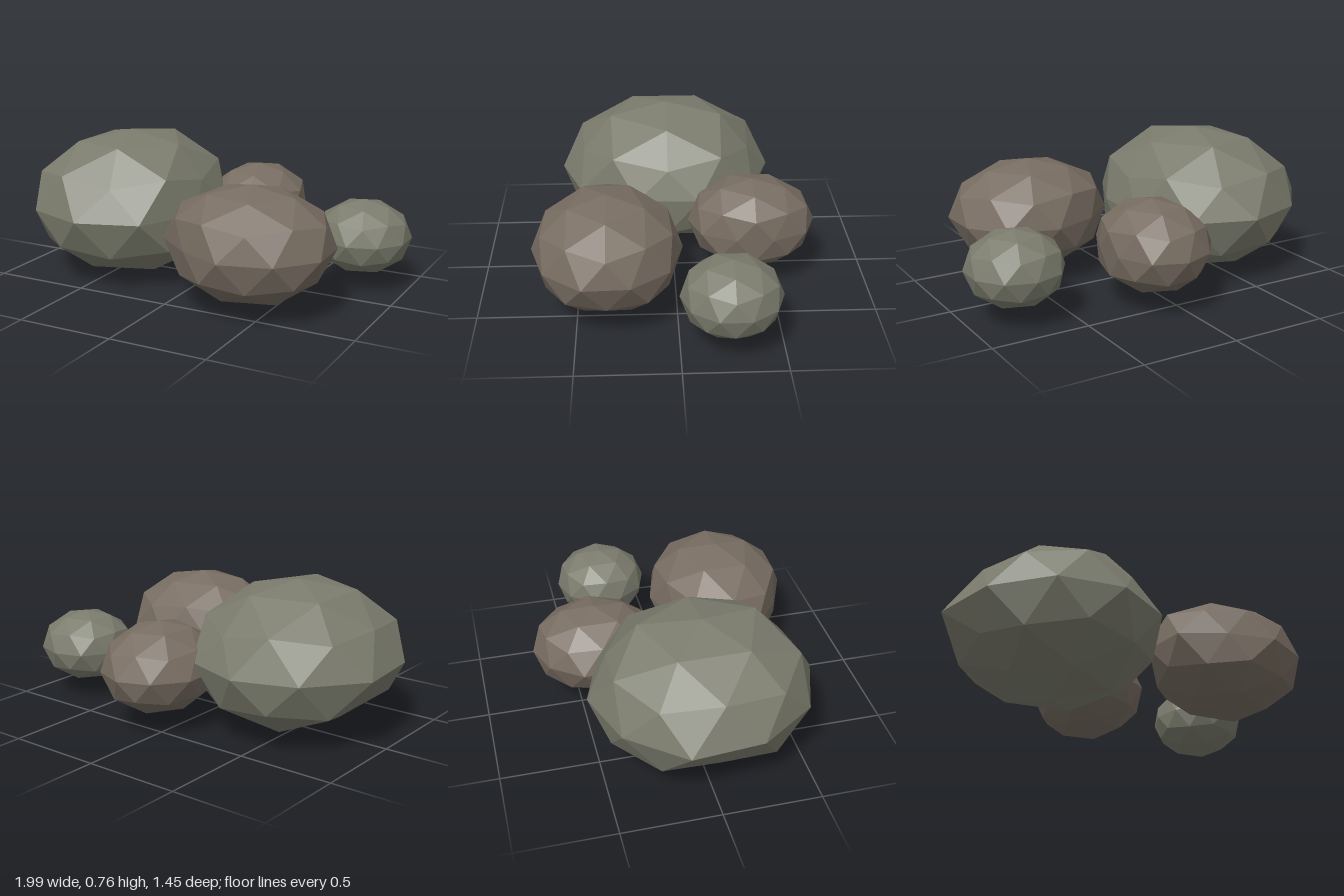
import * as THREE from 'three';

const TILT = Math.atan(2 / (1 + Math.sqrt(5)));

// Faceted boulder: a squashed 80-sided sphere with a corner at its top.
// Each dent [x, y, z, factor] pushes the corner in that direction in or out.
function makeRock({ name, color, centre, radii, dents }) {
  const geometry = new THREE.IcosahedronGeometry(1, 1);
  geometry.rotateZ(-TILT);
  const position = geometry.attributes.position;
  const corner = new THREE.Vector3();
  const directions = dents.map(([x, y, z]) => new THREE.Vector3(x, y, z).normalize());
  for (let i = 0; i < position.count; i++) {
    corner.fromBufferAttribute(position, i);
    const hit = directions.findIndex((d) => d.dot(corner) > 0.96);
    if (hit >= 0) corner.multiplyScalar(dents[hit][3]);
    position.setXYZ(i, corner.x, corner.y, corner.z);
  }
  geometry.scale(...radii);
  geometry.computeVertexNormals();
  const material = new THREE.MeshStandardMaterial({ color, flatShading: true });
  const rock = new THREE.Mesh(geometry, material);
  rock.name = name;
  rock.position.set(...centre);
  return rock;
}

const GREY = 0x7b7c6d;
const BROWN = 0x786d62;

const ROCKS = [
  {
    name: 'largeRock', color: GREY,
    centre: [-0.46, 0.38, 0.03], radii: [0.535, 0.38, 0.57],
    dents: [
      [-0.95, 0, -0.31, 1.06], [0.95, 0, -0.31, 0.93], [0.95, 0, 0.31, 0.91],
      [-0.85, 0.53, 0, 0.95], [-0.89, -0.45, 0, 0.89], [-0.53, -0.85, 0, 0.9],
      [0.89, 0.45, 0, 0.88], [0.16, 0.85, 0.5, 1.04], [0.16, 0.85, -0.5, 1.04],
      [0.28, 0.45, 0.85, 0.92], [0.28, 0.45, -0.85, 0.92],
    ],
  },
  {
    name: 'frontRock', color: BROWN,
    centre: [0.4, 0.333, 0.345], radii: [0.43, 0.292, 0.375],
    dents: [
      [-0.59, 0, -0.81, 0.93], [-0.59, 0, 0.81, 0.9], [-0.85, 0.53, 0, 1.05],
      [0.95, 0, -0.31, 0.98], [0.85, -0.53, 0, 0.95], [-0.95, 0, 0.31, 1.03],
    ],
  },
  {
    name: 'backRock', color: BROWN,
    centre: [0.085, 0.31, -0.4], radii: [0.28, 0.235, 0.33],
    dents: [
      [-0.95, 0, -0.31, 1.06], [-0.95, 0, 0.31, 1.03],
      [0.95, 0, -0.31, 0.93], [0.95, 0, 0.31, 0.91],
    ],
  },
  {
    name: 'smallRock', color: GREY,
    centre: [0.757, 0.266, -0.245], radii: [0.25, 0.192, 0.248],
    dents: [[-0.95, 0, -0.31, 0.97], [-0.95, 0, 0.31, 0.97]],
  },
];

export function createModel() {
  const group = new THREE.Group();
  group.name = 'rockCluster';
  for (const rock of ROCKS) group.add(makeRock(rock));
  return group;
}
